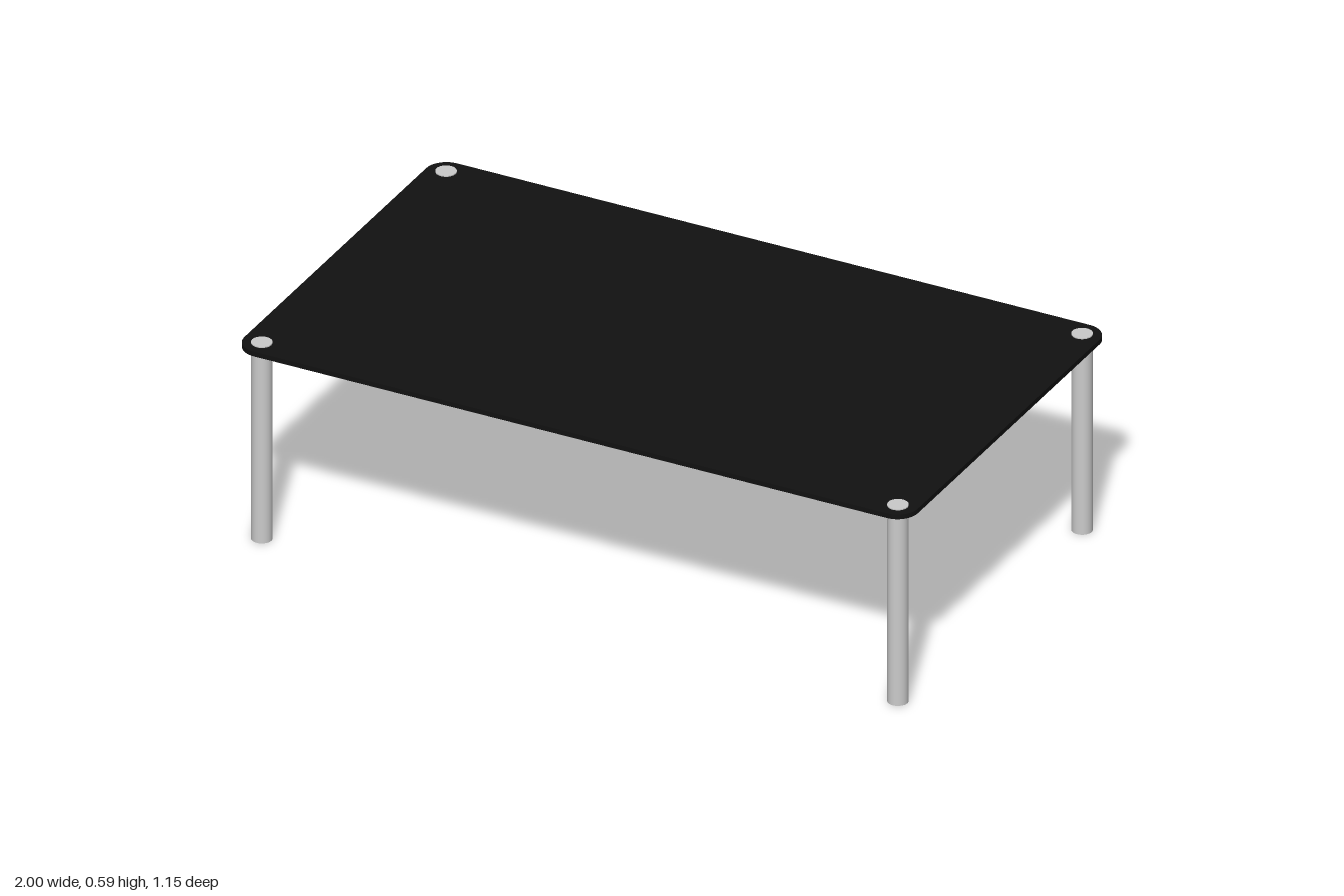
import * as THREE from 'three';

export function createModel() {
  const table = new THREE.Group();
  table.name = 'table';
  const black = new THREE.MeshStandardMaterial({ color: 0x111111 });
  const grey = new THREE.MeshStandardMaterial({ color: 0xcccccc });

  // Thin tabletop with rounded corners
  const w = 1, d = 0.575, r = 0.06, thickness = 0.014;
  const outline = new THREE.Shape();
  outline.absarc(w - r, d - r, r, 0, Math.PI / 2);
  outline.absarc(-w + r, d - r, r, Math.PI / 2, Math.PI);
  outline.absarc(-w + r, -d + r, r, Math.PI, Math.PI * 1.5);
  outline.absarc(w - r, -d + r, r, Math.PI * 1.5, Math.PI * 2);
  const topGeometry = new THREE.ExtrudeGeometry(outline, {
    depth: thickness, bevelEnabled: false, curveSegments: 16,
  });
  topGeometry.rotateX(-Math.PI / 2);
  const top = new THREE.Mesh(topGeometry, black);
  top.name = 'tabletop';
  top.position.y = 0.575;
  table.add(top);

  // Round legs, their ends standing just proud of the tabletop
  const legHeight = 0.592;
  const legGeometry = new THREE.CylinderGeometry(0.0285, 0.0285, legHeight, 32);
  for (const [zName, z] of [['front', 1], ['back', -1]]) {
    for (const [xName, x] of [['Left', 1], ['Right', -1]]) {
      const leg = new THREE.Mesh(legGeometry, grey);
      leg.name = `${zName}${xName}Leg`;
      leg.position.set(x * 0.945, legHeight / 2, z * 0.522);
      table.add(leg);
    }
  }
  return table;
}
